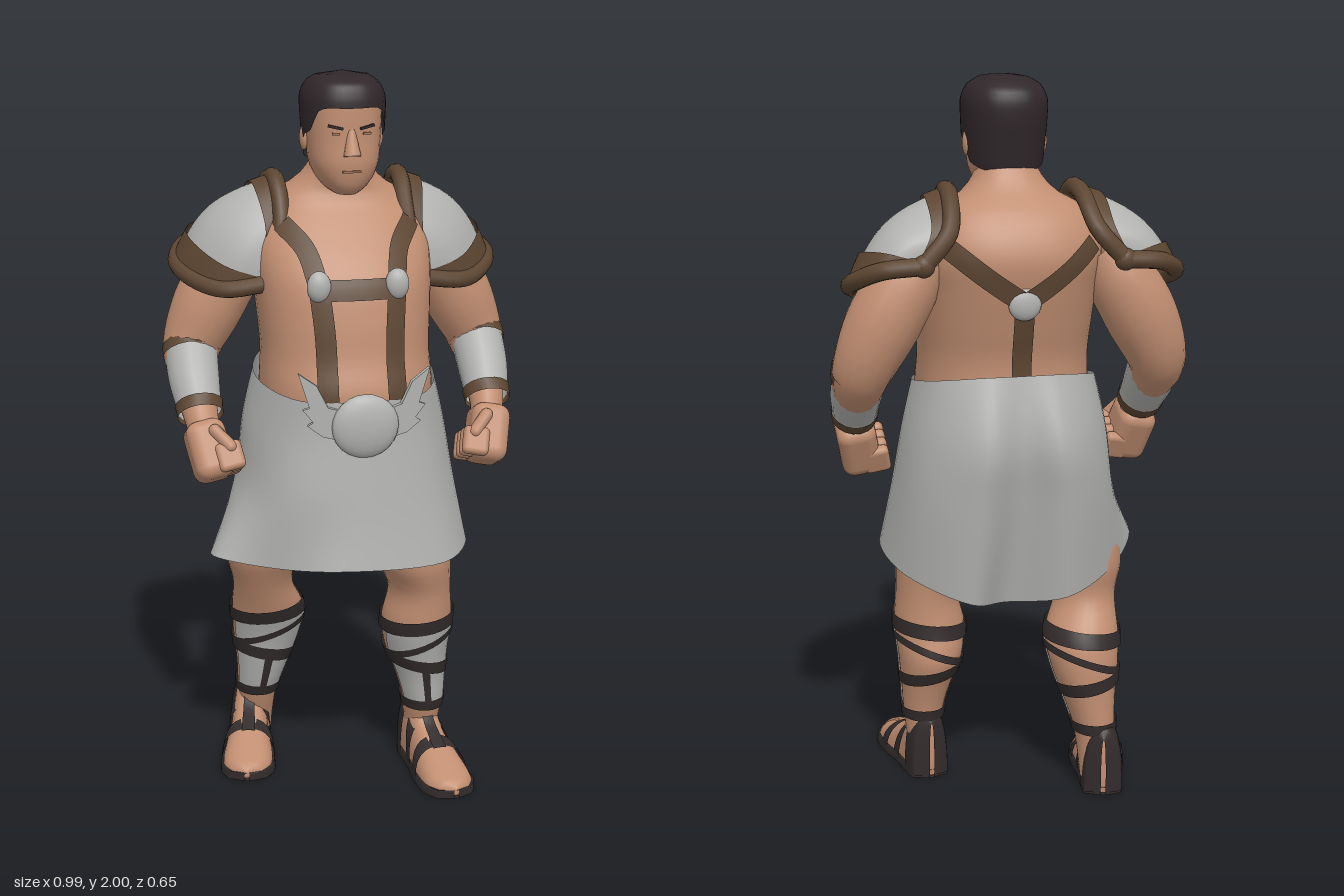
import * as THREE from 'three';
import { mergeVertices } from 'three/addons/utils/BufferGeometryUtils.js';
import { RoundedBoxGeometry } from 'three/addons/geometries/RoundedBoxGeometry.js';

const mat = (name, color) => Object.assign(new THREE.MeshStandardMaterial({ color, side: THREE.DoubleSide }), { name });
const V = (x, y, z) => new THREE.Vector3(x, y, z);
const TAU = Math.PI * 2;

// Smoothly interpolated table row; column 0 is the key, ascending
function row(rows, k) {
  let i = 0;
  while (i < rows.length - 2 && k > rows[i + 1][0]) i++;
  const [p, a, b, n] = [-1, 0, 1, 2].map(d => rows[Math.min(Math.max(i + d, 0), rows.length - 1)]);
  const t = THREE.MathUtils.clamp((k - a[0]) / (b[0] - a[0]), 0, 1);
  return a.map((_, c) => 0.5 * (2 * a[c] + (b[c] - p[c]) * t + (2 * p[c] - 5 * a[c] + 4 * b[c] - n[c]) * t * t
    + (3 * a[c] - p[c] - 3 * b[c] + n[c]) * t * t * t));
}

// Surface patch from a rule f(u, v)
function patch(f, nu, nv, v0 = 0, v1 = 1) {
  const pos = [], idx = [];
  for (let i = 0; i <= nu; i++) for (let j = 0; j <= nv; j++) pos.push(...f(i / nu, v0 + (v1 - v0) * j / nv).toArray());
  for (let i = 0; i < nu; i++) for (let j = 0; j < nv; j++) {
    const a = i * (nv + 1) + j, c = a + nv + 1;
    idx.push(a, a + 1, c, a + 1, c + 1, c);
  }
  let g = new THREE.BufferGeometry();
  g.setAttribute('position', new THREE.Float32BufferAttribute(pos, 3));
  g.setIndex(idx);
  g = mergeVertices(g, 1e-5);
  g.computeVertexNormals();
  return g;
}

const pw = (s, n) => Math.sign(s) * Math.abs(s) ** (2 / n);
// Body rows: y, half width, front z, back z
const TORSO = [[.74, 0, -.01, -.01], [.8, .2, .15, -.2], [1, .24, .2, -.28], [1.15, .237, .226, -.257], [1.25, .232, .2, -.252],
  [1.35, .238, .185, -.275], [1.45, .245, .16, -.298], [1.53, .25, .105, -.31], [1.6, .235, .045, -.29], [1.66, .19, -.005, -.25],
  [1.7, .12, -.01, -.2], [1.76, .08, .0, -.16]];
const HEAD = [[1.675, .03, .04, -.08], [1.69, .055, .058, -.12], [1.72, .078, .07, -.14], [1.76, .093, .077, -.15], [1.82, .099, .075, -.16],
  [1.88, .103, .075, -.17], [1.93, .103, .072, -.17], [1.965, .085, .055, -.15], [1.985, .05, .01, -.1], [1.99, .002, -.04, -.05]];
function ring(table, y, a, off = 0, n = 2.4) {
  const [, w, f, b] = row(table, y);
  return V((w + off) * pw(Math.sin(a), n), y, (f + b) / 2 + ((f - b) / 2 + off) * pw(Math.cos(a), n));
}
function surfZ(table, x, y, side) {
  const [, w, f, b] = row(table, y);
  return (f + b) / 2 + side * (f - b) / 2 * Math.max(0, 1 - Math.min(1, Math.abs(x / w)) ** 2.4) ** (1 / 2.4);
}

// Round limb through [x, y, z, radius] points
function limb(pts, nu = 20, nv = 18) {
  const curve = new THREE.CatmullRomCurve3(pts.map(p => V(p[0], p[1], p[2])));
  const rad = pts.map((p, i) => [i / (pts.length - 1), p[3]]);
  return patch((u, v) => {
    const T = curve.getTangent(u), N = V(1, 0, 0).addScaledVector(T, -T.x).normalize(), B = V(0, 0, 0).crossVectors(T, N);
    const r = row(rad, u)[1];
    return curve.getPoint(u).addScaledVector(N, r * Math.cos(v * TAU)).addScaledVector(B, r * Math.sin(v * TAU));
  }, nu, nv);
}

export function createModel() {
  const skin = mat('skin', 0xc28f72), silver = mat('silver', 0xb2b2b0), brown = mat('brownLeather', 0x5d4632),
    dark = mat('darkLeather', 0x322b2b), hair = mat('hair', 0x30272a), lip = mat('lip', 0xa5745a);
  const model = new THREE.Group();
  const add = (name, geo, m, parent = model) => {
    const mesh = new THREE.Mesh(geo, m);
    mesh.name = name;
    parent.add(mesh);
    return mesh;
  };
  const ball = (name, m, p, s, parent) => {
    const b = add(name, new THREE.SphereGeometry(1, 18, 12), m, parent);
    b.position.set(...p); b.scale.set(...s);
  };

  // Torso and chest straps
  add('torso', patch((u, v) => ring(TORSO, .74 + 1.02 * u, v * TAU), 44, 44), skin);
  const strap = (pts, side) => {
    const c = new THREE.CatmullRomCurve3(pts.map(p => V(p[0], p[1], 0)));
    add('chestStrap', patch((u, v) => {
      const p = c.getPoint(u), t = c.getTangent(u), o = (v - .5) * .054 * side;
      const x = p.x - t.y * o, y = p.y + t.x * o;
      return V(x, y, surfZ(TORSO, x, y, side) + side * .008);
    }, 16, 4), brown);
  };
  strap([[-.1, 1.44], [.1, 1.44]], 1);
  for (const s of [-1, 1]) {
    strap([[s * .095, 1.14], [s * .095, 1.3], [s * .107, 1.45]], 1);
    strap([[s * .107, 1.45], [s * .13, 1.54], [s * .18, 1.6]], 1);
    strap([[0, 1.42], [s * .1, 1.49], [s * .2, 1.57]], -1);
    ball('chestStud', silver, [s * .107, 1.45, .155], [.033, .043, .025]);
  }
  strap([[0, 1.18], [0, 1.3], [0, 1.43]], -1);
  ball('backDisc', silver, [0, 1.42, -.293], [.045, .045, .02]);

  // Head, hair and face
  const head = new THREE.Group();
  head.name = 'head';
  model.add(head);
  add('face', patch((u, v) => ring(HEAD, 1.675 + .315 * u, v * TAU), 30, 32), skin, head);
  const hairline = a => {
    const d = Math.abs(((a + Math.PI) % TAU) - Math.PI);
    return row([[0, 1.91], [.75, 1.905], [1.1, 1.85], [1.5, 1.83], [1.9, 1.77], [Math.PI, 1.74]], d)[1];
  };
  add('hair', patch((u, v) => {
    const low = hairline(v * TAU), p = ring(HEAD, low + (1.99 - low) * u, v * TAU, u > .99 ? 0 : .01);
    p.y += .01 * u;
    return p;
  }, 18, 40), hair, head);
  const nose = add('nose', new THREE.CylinderGeometry(.01, .024, .07, 10), skin, head);
  nose.position.set(0, 1.818, .074); nose.rotation.x = -.18;
  const plate = (name, x, y, w, h, m, tilt = 0) => {
    const b = add(name, new THREE.BoxGeometry(w, h, .008), m, head);
    b.position.set(x, y, surfZ(HEAD, x, y, 1) + .001); b.rotation.set(0, x * 6, tilt);
  };
  plate('mouth', 0, 1.742, .05, .006, lip);
  for (const s of [-1, 1]) {
    plate('eyebrow', s * .043, 1.86, .042, .007, hair, s * .2);
    plate('eye', s * .042, 1.843, .022, .006, lip);
    ball('ear', skin, [s * .104, 1.82, -.06], [.012, .034, .022], head);
  }

  // Skirt from four rings: hem, thigh, hip, waist
  const sym = (y, h) => [...h, ...h.slice(1, -1).reverse().map(([x, z, dy]) => [-x, z, dy])].map(([x, z, dy = 0]) => V(x, y + dy, z));
  const rings = [
    [[-.08, .69, .285], [.23, .68, .24], [.335, .69, .07], [.3, .65, -.14], [.14, .595, -.275], [.03, .572, -.205],
      [-.13, .595, -.27], [-.31, .65, -.14], [-.395, .69, .08], [-.26, .68, .18]].map(p => V(...p)),
    sym(.87, [[0, .265], [.21, .205], [.305, .03], [.27, -.19], [.12, -.312], [0, -.268]]),
    sym(1.04, [[0, .246], [.185, .19], [.28, .0], [.25, -.19], [.105, -.325], [0, -.292]]),
    sym(1.15, [[0, .237], [.165, .193], [.25, .0, .02], [.217, -.175, .05], [.1, -.262, .07], [0, -.263, .07]]),
  ].map(p => new THREE.CatmullRomCurve3(p, true));
  add('skirt', patch((u, v) => {
    const p = row(rings.map((c, i) => [i / 3, ...c.getPoint(v % 1).toArray()]), u);
    return V(p[1], p[2], p[3]);
  }, 18, 60), silver);

  // Round belt buckle with wings
  ball('buckle', silver, [0, 1.085, .245], [.092, .088, .03]);
  const wing = new THREE.Shape([[.075, 1.05], [.115, 1.06], [.155, 1.09], [.14, 1.1], [.168, 1.135], [.15, 1.14], [.18, 1.235],
    [.13, 1.2], [.1, 1.14], [.065, 1.13]].map(p => new THREE.Vector2(...p)));
  for (const s of [-1, 1]) {
    const w = add('buckleWing', new THREE.ExtrudeGeometry(wing, { depth: .014, bevelEnabled: false }), silver);
    w.position.z = .24; w.scale.x = s; w.rotation.y = s * .12;
  }

  // Arms, bracers, fists and shoulder guards, mirrored
  for (const s of [-1, 1]) {
    const side = new THREE.Group();
    side.name = s > 0 ? 'leftArm' : 'rightArm';
    side.scale.x = s;
    model.add(side);
    add('arm', limb([[.23, 1.54, -.16, .07], [.295, 1.46, -.16, .095], [.36, 1.35, -.16, .1], [.411, 1.23, -.145, .081],
      [.415, 1.15, -.075, .063], [.408, 1.07, .0, .048], [.4, 1.02, .03, .045]], 30), skin, side);
    add('bracer', limb([[.414, 1.225, -.135, .074], [.415, 1.155, -.07, .071], [.41, 1.085, -.005, .062]], 8), silver, side);
    add('bracerTopTrim', limb([[.414, 1.238, -.147, .079], [.414, 1.214, -.125, .079]], 2), brown, side);
    add('bracerLowTrim', limb([[.411, 1.1, -.018, .067], [.41, 1.074, .006, .064]], 2), brown, side);

    const fist = new THREE.Group();
    fist.name = 'fist';
    fist.position.set(.395, .985, .052);
    fist.rotation.set(-.45, 0, -.2);
    side.add(fist);
    add('palm', new RoundedBoxGeometry(.11, .165, .13, 3, .035), skin, fist);
    for (let i = 0; i < 4; i++) {
      const f = add('finger', new RoundedBoxGeometry(.075, .08, .036, 2, .015), skin, fist);
      f.position.set(-.042, -.035, .055 - i * .034);
    }
    const thumb = add('thumb', new THREE.CapsuleGeometry(.018, .06, 4, 8), skin, fist);
    thumb.position.set(-.035, .015, .064); thumb.rotation.z = -.5;

    // Domed guard with a broad band and a rolled rim along both edges
    const tips = [V(.27, 1.53, -.302), V(.21, 1.435, .005)];
    const inner = new THREE.CatmullRomCurve3([tips[0], V(.2, 1.61, -.285), V(.18, 1.69, -.2), V(.175, 1.7, -.1),
      V(.175, 1.6, -.02), tips[1]]);
    const outer = new THREE.CatmullRomCurve3([tips[0], V(.375, 1.52, -.29), V(.435, 1.485, -.22), V(.435, 1.455, -.13),
      V(.345, 1.42, -.02), tips[1]]);
    const guard = (u0, u1, off) => patch((u, v) => {
      const w = u0 + (u1 - u0) * u;
      return inner.getPoint(v).lerp(outer.getPoint(v), w)
        .addScaledVector(V(.65, .65, .1), off + .055 * Math.sin(Math.PI * w) * Math.sin(Math.PI * v) ** .6);
    }, 14, 24);
    add('shoulderGuard', guard(0, 1, 0), silver, side);
    add('shoulderBandNeck', guard(0, .15, .012), brown, side);
    add('shoulderBandArm', guard(.78, 1, .012), brown, side);
    for (const c of [inner, outer]) add('shoulderRim', new THREE.TubeGeometry(c, 28, .024, 10), brown, side);
    for (const p of tips) ball('rimEnd', brown, p.toArray(), [.03, .03, .025], side);
  }

  // Legs: y, centre x, centre z, half width, half depth
  const legs = {
    leftLeg: [[.04, .22, .0, .045, .05], [.18, .222, .025, .055, .07], [.27, .214, .02, .07, .088], [.36, .202, .015, .09, .113],
      [.45, .2, .035, .1, .115], [.55, .205, .042, .088, .118], [.65, .178, .045, .113, .145], [.85, .16, .02, .125, .15]],
    rightLeg: [[.04, -.23, -.215, .045, .05], [.18, -.23, -.19, .057, .074], [.27, -.218, -.175, .074, .088], [.36, -.207, -.165, .095, .1],
      [.45, -.205, -.14, .104, .11], [.55, -.227, -.09, .085, .1], [.65, -.225, -.07, .108, .13], [.85, -.17, -.05, .13, .15]],
  };
  // Foot: length share, half width, height
  const FOOT = [[0, .0, .16], [.015, .038, .18], [.1, .05, .2], [.24, .054, .19], [.4, .058, .13], [.6, .07, .095], [.84, .07, .062], [.97, .042, .045], [1, .0, .03]];
  const footAt = (s, v, off) => {
    const [, w, h] = row(FOOT, s), a = v * TAU, y = Math.sin(a);
    return V((w + off) * pw(Math.cos(a), 2.4), y > 0 ? .008 + (h + off - .008) * y ** .8 : .008, s * .375);
  };
  for (const [name, table] of Object.entries(legs)) {
    const leg = new THREE.Group(), left = name === 'leftLeg';
    leg.name = name;
    model.add(leg);
    const at = (y, a, off = 0) => {
      const [, cx, cz, rx, rz] = row(table, y);
      return V(cx + (rx + off) * Math.sin(a), y, cz + (rz + off) * Math.cos(a));
    };
    add('legSkin', patch((u, v) => at(.04 + .8 * u, v * TAU), 32, 28), skin, leg);
    add('shinGuard', patch((u, v) => at(.2 + .24 * u, v, .004), 12, 14, -1.25, 1.25), silver, leg);
    for (const [y, tilt, h] of [[.45, .012, .042], [.385, .04, .022], [.318, -.018, .038], [.19, 0, .032]])
      add('legStrap', patch((u, v) => at(y + (u - .5) * h + tilt * Math.sin(v * TAU), v * TAU, .007), 2, 28), dark, leg);
    add('shinStrap', patch((u, v) => at(.19 + .13 * u, v, .007), 6, 3, -.14, .14), dark, leg);

    // Sandal
    const foot = new THREE.Group();
    foot.name = 'foot';
    foot.position.set(left ? .212 : -.235, 0, left ? -.052 : -.28);
    foot.rotation.y = left ? .1 : -.2;
    leg.add(foot);
    add('footSkin', patch((u, v) => footAt(u, v, 0), 24, 24), skin, foot);
    add('sole', patch((u, v) => {
      const p = footAt(u, v, .007);
      p.y = p.y > .009 ? Math.min(p.y, .024) : 0;
      return p;
    }, 24, 24), dark, foot);
    for (const [s0, s1] of [[0, .2], [.33, .43], [.55, .65]])
      add('sandalStrap', patch((u, v) => {
        const p = footAt(s0 + (s1 - s0) * u, v, .007);
        p.z += s0 ? (.05 - p.y) * .35 : -.003;
        return p;
      }, 6, 24, 0, .5), dark, foot);
    add('instepStrap', patch((u, v) => footAt(.24 + .4 * u, v, .007), 8, 3, .22, .28), dark, foot);
  }
  return model;
}
